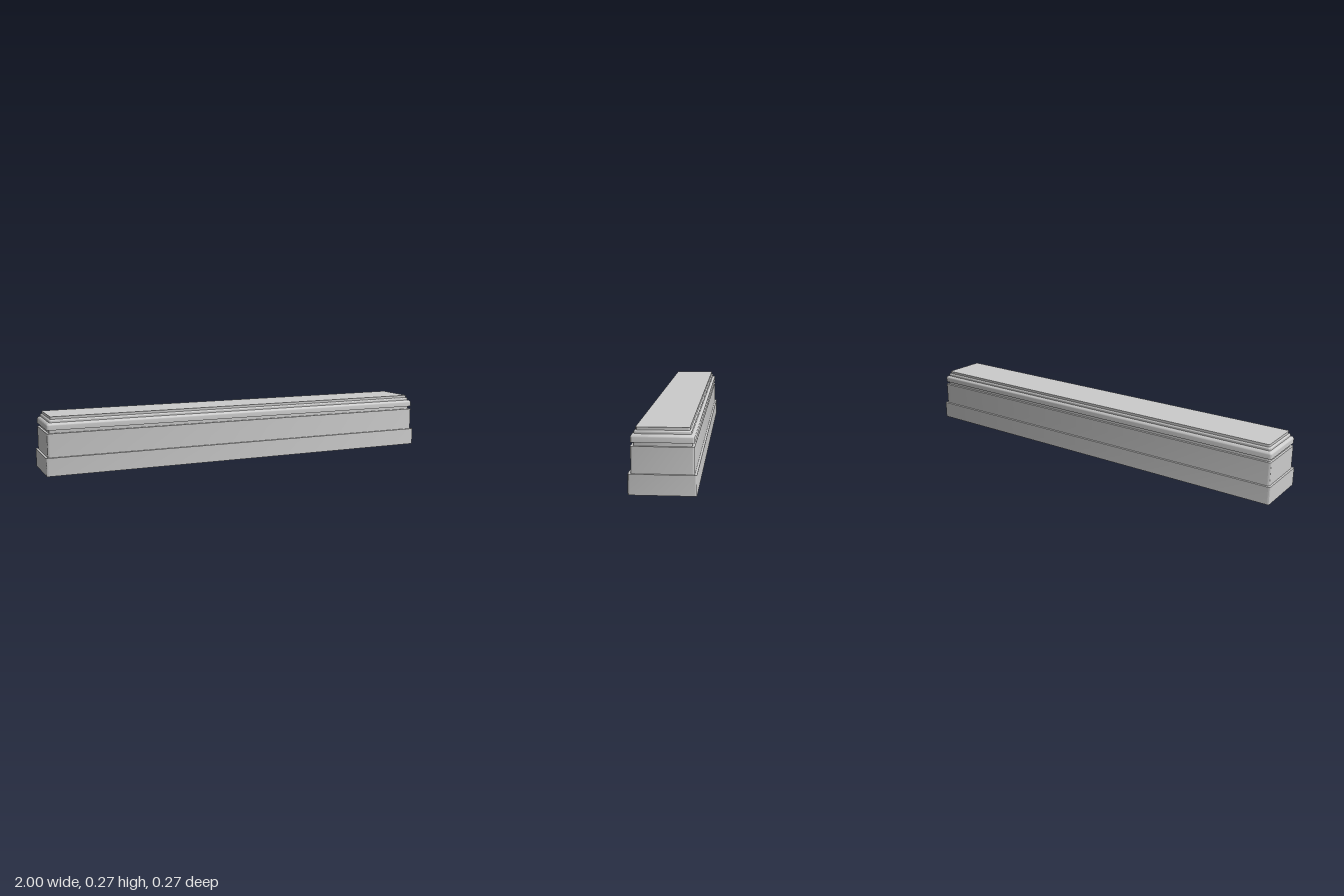
import * as THREE from 'three';
import { toCreasedNormals } from 'three/addons/utils/BufferGeometryUtils.js';

const HALF_X = 1, HALF_Z = 0.1365, CORNER = 0.009, STEPS = 5;

// Rounded rectangle at height y, inset from the plinth outline
function ring(inset, y) {
  const points = [];
  const hx = HALF_X - inset - CORNER, hz = HALF_Z - inset - CORNER;
  [[1, -1], [-1, -1], [-1, 1], [1, 1]].forEach(([sx, sz], corner) => {
    for (let i = 0; i <= STEPS; i++) {
      const a = (corner + i / STEPS) * Math.PI / 2;
      points.push([sx * hx + CORNER * Math.cos(a), y, sz * hz - CORNER * Math.sin(a)]);
    }
  });
  return points;
}

// Sweeps an [inset, y] profile around the outline; capped closes the top
function band(profile, capped) {
  const rings = profile.map(([inset, y]) => ring(inset, y));
  const positions = [];
  const count = rings[0].length;
  for (let i = 0; i < count; i++) {
    const j = (i + 1) % count;
    for (let k = 0; k + 1 < rings.length; k++) {
      const lower = rings[k], upper = rings[k + 1];
      positions.push(...lower[i], ...lower[j], ...upper[j], ...lower[i], ...upper[j], ...upper[i]);
    }
    if (capped) {
      const top = rings[rings.length - 1];
      positions.push(...top[i], ...top[j], 0, top[0][1], 0);
    }
  }
  const geometry = new THREE.BufferGeometry();
  geometry.setAttribute('position', new THREE.Float32BufferAttribute(positions, 3));
  return toCreasedNormals(geometry, Math.PI / 5);
}

// Quarter-round shoulder ending at the given top height
function shoulder(inset, top, radius) {
  const points = [];
  for (let i = 0; i <= 5; i++) {
    const a = i / 5 * Math.PI / 2;
    points.push([inset + radius * (1 - Math.cos(a)), top - radius * (1 - Math.sin(a))]);
  }
  return points;
}

export function createModel() {
  const model = new THREE.Group();
  model.name = 'mouldedBase';
  const material = new THREE.MeshStandardMaterial({ color: 0xcccccc, side: THREE.DoubleSide });

  // Hollow shell, open underneath; each part ends where the next begins
  const parts = {
    plinth: [[0, 0], [0, 0.084], [0.01, 0.084]],
    body: [[0.01, 0.084], [0.01, 0.193], [0.0205, 0.193]],
    neckGroove: [[0.0205, 0.193], [0.0205, 0.208], [0.01, 0.208]],
    roundMoulding: [[0.01, 0.208], ...shoulder(0.01, 0.241, 0.013)],
    upperMoulding: [[0.023, 0.241], ...shoulder(0.023, 0.255, 0.0065)],
    topSlab: [[0.0295, 0.255], [0.0295, 0.267]],
  };
  for (const [name, profile] of Object.entries(parts)) {
    const mesh = new THREE.Mesh(band(profile, name === 'topSlab'), material);
    mesh.name = name;
    model.add(mesh);
  }
  return model;
}
